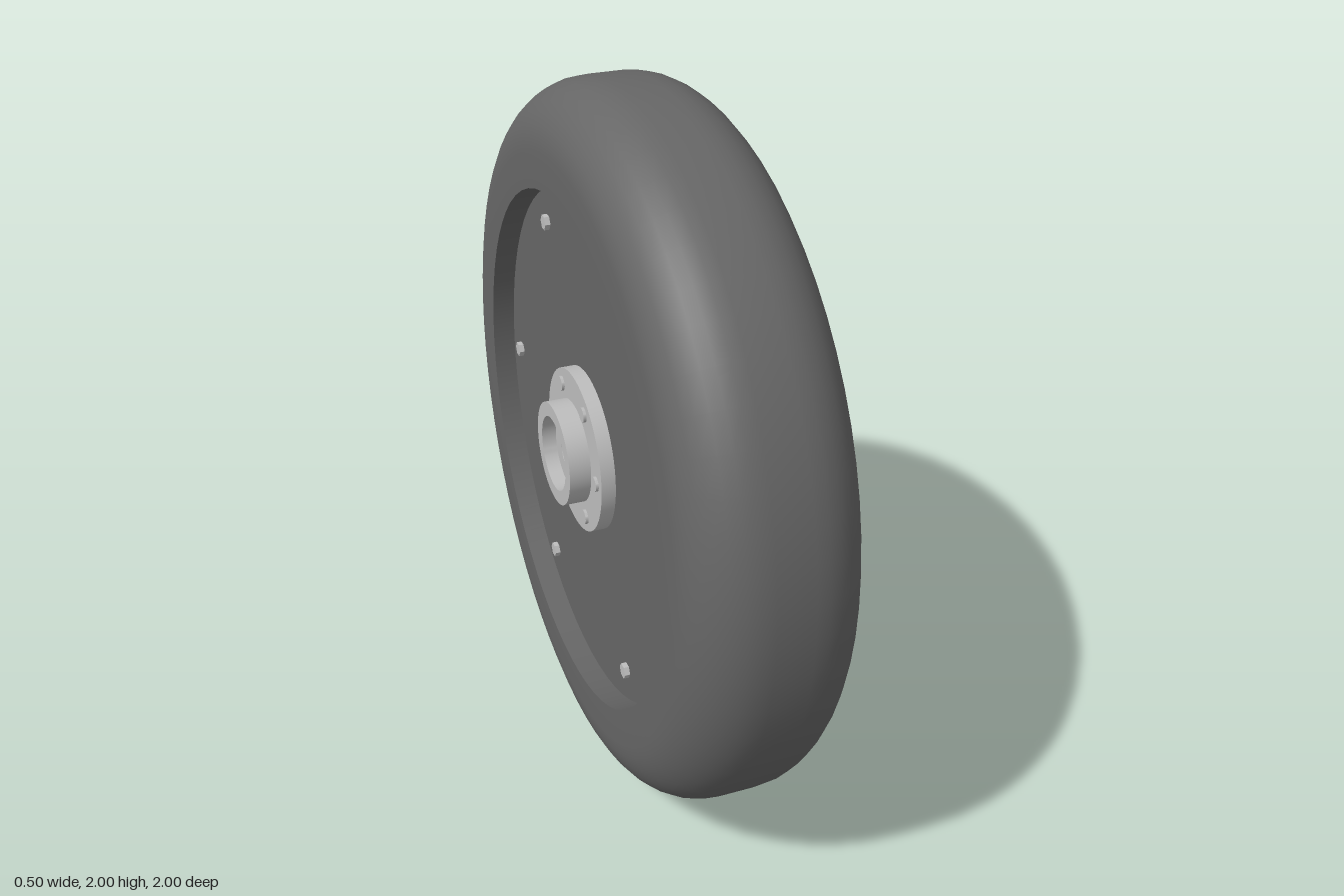
import * as THREE from 'three';
import { toCreasedNormals } from 'three/addons/utils/BufferGeometryUtils.js';

const rubber = new THREE.MeshStandardMaterial({ name: 'darkGrey', color: 0x666666 });
const metal = new THREE.MeshStandardMaterial({ name: 'silver', color: 0xbdbdbd });

// Inside the wheel group local +y is the axle, which becomes world +x.
const SPOKES = 6;
const BACK = -0.15, FLOOR = -0.13, SPOKE_FACE = 0.02, RIM_FACE = 0.185;

function add(parent, name, geometry, material) {
  const mesh = new THREE.Mesh(toCreasedNormals(geometry, 0.55), material);
  mesh.name = name;
  parent.add(mesh);
  return mesh;
}

// Closed profile of [radius, axial] pairs, running counter-clockwise
function revolve(profile, segments = 64) {
  const pts = profile.map(([r, a]) => new THREE.Vector2(r, a));
  pts.push(pts[0].clone());
  return new THREE.LatheGeometry(pts, segments);
}

function ring(inner, outer, a0, a1) {
  return revolve([[inner, a0], [outer, a0], [outer, a1], [inner, a1]]);
}

function polar(r, a) {
  return new THREE.Vector2(r * Math.cos(a), r * Math.sin(a));
}

// Opening between two spokes: parallel-sided spokes, rounded outer corners
function pocket(center) {
  const w = 0.055, rIn = 0.23, rOut = 0.54, rBend = 0.48;
  const half = (r) => Math.PI / SPOKES - Math.asin(w / r);
  const round = 0.1;
  const path = new THREE.Path();
  const at = (r, side, trim = 0) => polar(r, center + side * (half(r) - trim));
  const start = at(rIn, -1), bend0 = at(rBend, -1), corner0 = at(rOut, -1), arc0 = at(rOut, -1, round);
  const corner1 = at(rOut, 1), bend1 = at(rBend, 1), end = at(rIn, 1);
  path.moveTo(start.x, start.y);
  path.lineTo(bend0.x, bend0.y);
  path.quadraticCurveTo(corner0.x, corner0.y, arc0.x, arc0.y);
  path.absarc(0, 0, rOut, center - half(rOut) + round, center + half(rOut) - round, false);
  path.quadraticCurveTo(corner1.x, corner1.y, bend1.x, bend1.y);
  path.lineTo(end.x, end.y);
  path.absarc(0, 0, rIn, center + half(rIn), center - half(rIn), true);
  return path;
}

function spokePlate() {
  const shape = new THREE.Shape();
  shape.absarc(0, 0, 0.545, 0, Math.PI * 2, false);
  const bore = new THREE.Path();
  bore.absarc(0, 0, 0.135, 0, Math.PI * 2, true);
  shape.holes.push(bore);
  for (let i = 0; i < SPOKES; i++) shape.holes.push(pocket((i * Math.PI * 2) / SPOKES));
  const geo = new THREE.ExtrudeGeometry(shape, {
    depth: SPOKE_FACE - FLOOR, bevelEnabled: false, curveSegments: 24,
  });
  return geo.rotateX(-Math.PI / 2).translate(0, FLOOR, 0);
}

// Circle of fasteners in line with the spokes
function boltCircle(parent, name, circleRadius, boltRadius, a0, a1, sides) {
  const group = new THREE.Group();
  group.name = name;
  for (let i = 0; i < SPOKES; i++) {
    const p = polar(circleRadius, Math.PI / 2 + (i * Math.PI * 2) / SPOKES);
    const geo = new THREE.CylinderGeometry(boltRadius, boltRadius, a1 - a0, sides);
    add(group, 'bolt', geo, metal).position.set(p.x, (a0 + a1) / 2, p.y);
  }
  parent.add(group);
}

export function createModel() {
  const model = new THREE.Group();
  model.name = 'wheelAssembly';
  const wheel = new THREE.Group();
  wheel.name = 'wheel';
  wheel.rotation.z = -Math.PI / 2;
  wheel.position.y = 1;
  model.add(wheel);

  // Tyre: flat sidewalls and generously rounded shoulders
  const mid = 0.015, halfWidth = 0.23, shoulder = 0.18, steps = 8;
  const tyre = [[0.722, mid - halfWidth]];
  for (const side of [-1, 1]) {
    for (let i = 0; i <= steps; i++) {
      const t = ((side < 0 ? i : steps - i) / steps) * Math.PI / 2;
      tyre.push([
        1 - shoulder + shoulder * Math.sin(t),
        mid + side * (halfWidth - shoulder + shoulder * Math.cos(t)),
      ]);
    }
  }
  tyre.push([0.722, mid + halfWidth]);
  add(wheel, 'tyre', revolve(tyre), rubber);

  // Rim, spokes and back cover
  add(wheel, 'rim', ring(0.54, 0.717, FLOOR, RIM_FACE), metal);
  add(wheel, 'spokes', spokePlate(), metal);
  add(wheel, 'backCover', ring(0.13, 0.72, BACK, FLOOR), rubber);

  // Hub: rear flange, stepped boss and axle bore
  add(wheel, 'hub', revolve([
    [0.06, -0.21], [0.105, -0.21], [0.105, -0.25], [0.145, -0.25], [0.145, -0.19],
    [0.23, -0.19], [0.23, -0.148], [0.136, -0.148], [0.136, -0.09], [0.06, -0.09],
  ]), metal);

  // Fasteners
  boltCircle(wheel, 'frontHubPins', 0.187, 0.014, 0, 0.07, 12);
  boltCircle(wheel, 'rearFlangeBolts', 0.187, 0.021, -0.198, -0.18, 12);
  boltCircle(wheel, 'coverBolts', 0.63, 0.022, -0.165, -0.14, 6);

  return model;
}
